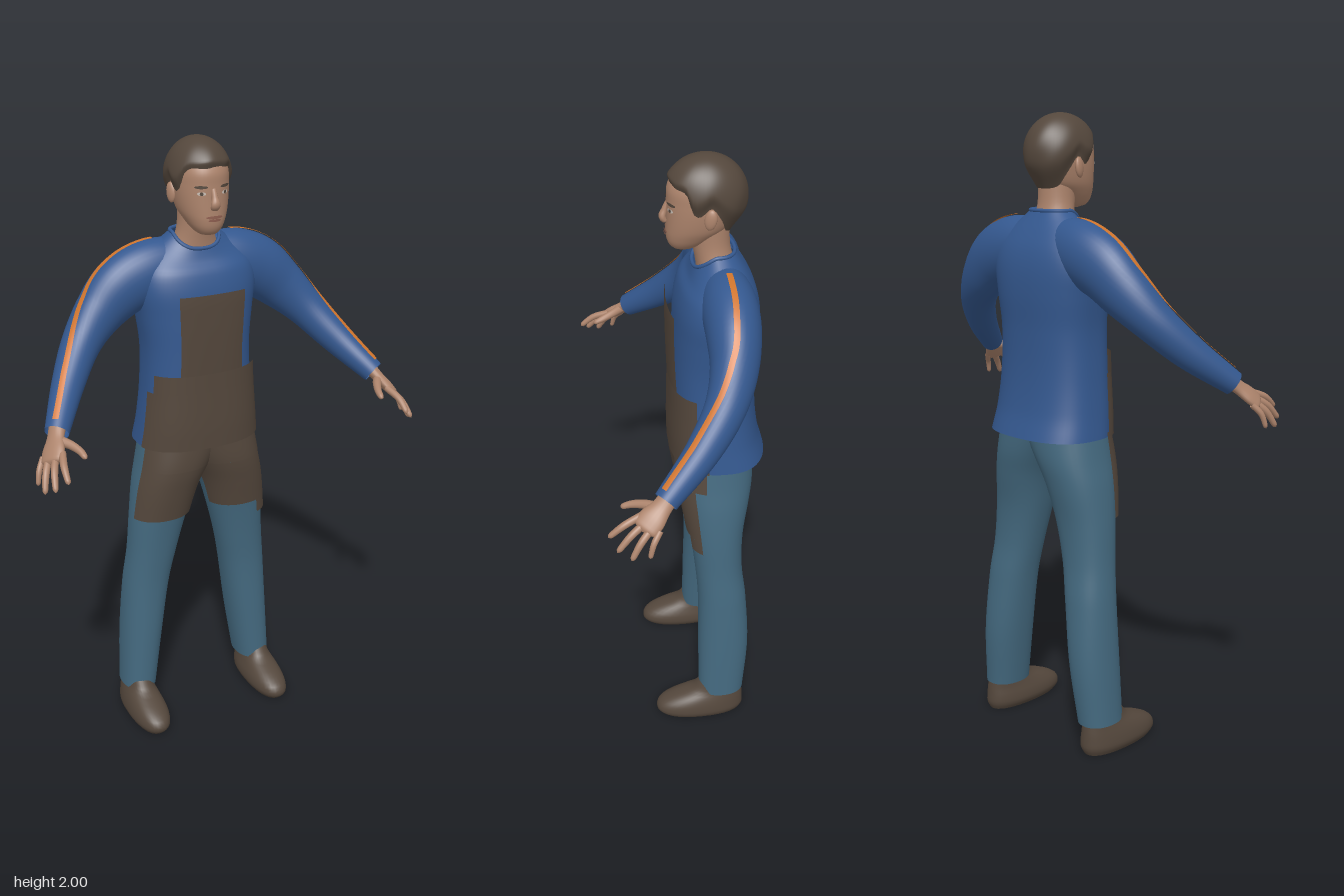
import * as THREE from 'three';

const mat = (name, color, double) => {
  const m = new THREE.MeshStandardMaterial({ color });
  m.name = name;
  if (double) m.side = THREE.DoubleSide;
  return m;
};
const V = (x, y, z) => new THREE.Vector3(x, y, z);
const smooth = (a, b, x) => THREE.MathUtils.smoothstep(x, a, b);
const lerp = THREE.MathUtils.lerp;

// Smooth interpolation through rows keyed by their first number
function profile(rows) {
  const slope = (i, k) => {
    const a = rows[Math.max(i - 1, 0)], b = rows[Math.min(i + 1, rows.length - 1)];
    return (b[k] - a[k]) / (b[0] - a[0]);
  };
  return (y) => {
    let i = 0;
    while (i < rows.length - 2 && y > rows[i + 1][0]) i++;
    const a = rows[i], b = rows[i + 1], h = b[0] - a[0];
    const t = THREE.MathUtils.clamp((y - a[0]) / h, 0, 1), t2 = t * t, t3 = t2 * t;
    return a.map((_, k) => (2 * t3 - 3 * t2 + 1) * a[k] + (t3 - 2 * t2 + t) * h * slope(i, k)
      + (3 * t2 - 2 * t3) * b[k] + (t3 - t2) * h * slope(i + 1, k));
  };
}

// Upright body of rounded sections; rows are [y, xMin, xMax, zBack, zFront]
function body(rows, p = 1) {
  const at = profile(rows);
  const pw = (c) => Math.sign(c) * Math.abs(c) ** p;
  return (th, y, off = 0, scale = 1) => {
    const [, x0, x1, z0, z1] = at(y);
    return V((x0 + x1) / 2 + ((x1 - x0) / 2 + off) * scale * pw(Math.cos(th)), y,
      (z0 + z1) / 2 + ((z1 - z0) / 2 + off) * scale * pw(Math.sin(th)));
  };
}

// Surface mesh from a rule f(u, v); side -1 mirrors it to the right
function surface(parent, name, material, f, [u0, u1, nu], [v0, v1, nv], side = 1) {
  const closed = Math.abs(u1 - u0 - 2 * Math.PI) < 1e-6, cols = closed ? nu : nu + 1;
  const pos = [], idx = [];
  for (let j = 0; j <= nv; j++) for (let i = 0; i < cols; i++) {
    const q = f(lerp(u0, u1, i / nu), lerp(v0, v1, j / nv));
    pos.push(q.x * side, q.y, q.z);
  }
  for (let j = 0; j < nv; j++) for (let i = 0; i < nu; i++) {
    const a = j * cols + i, b = j * cols + (i + 1) % cols, c = a + cols, d = b + cols;
    if (side > 0) idx.push(a, c, b, b, c, d);
    else idx.push(a, b, c, b, d, c);
  }
  const g = new THREE.BufferGeometry();
  g.setAttribute('position', new THREE.Float32BufferAttribute(pos, 3));
  g.setIndex(idx);
  g.computeVertexNormals();
  const m = new THREE.Mesh(g, material);
  m.name = name;
  parent.add(m);
  return m;
}

// Limb along a curve; each point is [x, y, z, radius along ref, radius across]
function limb(points, ref, cap) {
  const curve = new THREE.CatmullRomCurve3(points.map((q) => V(q[0], q[1], q[2])));
  const radii = profile(points.map((q, i) => [i / (points.length - 1), q[3], q[4] ?? q[3]]));
  return (th, t, off = 0, arc = false) => {
    const c = curve.getPoint(t), T = curve.getTangent(t);
    const U = ref.clone().addScaledVector(T, -ref.dot(T)).normalize();
    const S = U.clone().cross(T);
    let [, ru, rs] = radii(t);
    if (arc) th /= rs;
    const k = cap && t > 0.88 ? Math.sqrt(Math.max(0, 1 - ((t - 0.88) / 0.12) ** 2)) : 1;
    return c.addScaledVector(U, (ru + off) * k * Math.cos(th)).addScaledVector(S, (rs + off) * k * Math.sin(th));
  };
}

export function createModel() {
  const model = new THREE.Group();
  model.name = 'workman';
  const blue = mat('shirtBlue', 0x34588f, true), denim = mat('trouserBlue', 0x44697f, true);
  const brown = mat('brown', 0x54473c, true), skin = mat('skin', 0xad846c);
  const orange = mat('orange', 0xcf742c, true), white = mat('eyeWhite', 0xc9beb4, true);
  const lip = mat('lip', 0x8f5f50, true);
  const PI = Math.PI, ring = (n) => [0, 2 * PI, n];

  // Shirt, with a neckline that dips at the front
  const torsoBody = body([
    [1.02, -.203, .203, -.272, .022], [1.1, -.193, .193, -.25, .024], [1.22, -.182, .182, -.236, .022],
    [1.35, -.178, .178, -.235, .02], [1.46, -.19, .19, -.242, .016], [1.54, -.2, .2, -.24, .01],
    [1.6, -.19, .19, -.227, -.005], [1.65, -.155, .155, -.203, -.025], [1.69, -.1, .1, -.178, -.036],
    [1.71, -.075, .075, -.165, -.042]], 0.8);
  const torso = (th, y, off) => {
    const q = torsoBody(th, y, off);
    q.y -= 0.045 * Math.max(0, Math.sin(th)) * smooth(1.58, 1.71, y);
    return q;
  };
  surface(model, 'shirt', blue, torso, ring(64), [1.02, 1.71, 46]);
  const rim = Array.from({ length: 32 }, (_, i) => torso(i * PI / 16, 1.71));
  const collar = new THREE.Mesh(new THREE.TubeGeometry(new THREE.CatmullRomCurve3(rim, true), 64, .006, 8, true), blue);
  collar.name = 'collar';
  model.add(collar);

  // Apron: waist panel, stepped shoulder panel and a bib that stands off the chest
  const apron = new THREE.Group();
  apron.name = 'apron';
  model.add(apron);
  const panel = (name, y0, y1, a0, a1, off0, off1) => surface(apron, name, brown, (u, v) =>
    torso(lerp(lerp(a0, a1, v), PI - lerp(a0, a1, v), u), lerp(y0, y1, v), lerp(off0, off1, v)), [0, 1, 30], [0, 1, 14]);
  panel('apronWaist', 1.025, 1.22, .25, .25, .011, .011);
  panel('apronStep', 1.22, 1.28, .45, .45, .011, .011);
  panel('apronBib', 1.28, 1.54, 1.06, 1.15, .011, .026);

  // Legs
  const leg = body([
    [.1, .165, .285, -.2, -.045], [.3, .135, .275, -.215, -.045], [.5, .105, .261, -.205, -.045],
    [.62, .08, .248, -.192, -.036], [.75, .047, .238, -.195, -.02], [.87, .012, .223, -.215, 0],
    [.95, -.03, .207, -.228, .012], [1.05, -.1, .19, -.23, .01]], 0.9);
  // Shoes
  const shoe = body([
    [0, .18, .285, -.19, .088], [.02, .167, .296, -.2, .105], [.05, .168, .294, -.2, .094],
    [.075, .176, .287, -.198, .05], [.1, .183, .278, -.195, -.015], [.14, .188, .272, -.19, -.05]], 0.88);
  // Arms
  const arm = limb([[.05, 1.605, -.125, .085, .07], [.15, 1.588, -.13, .1, .082], [.235, 1.553, -.13, .098, .08],
    [.315, 1.487, -.12, .082, .07], [.39, 1.41, -.085, .064, .06], [.465, 1.318, -.01, .053, .05],
    [.549, 1.217, .105, .037, .037]], V(0, 1, 0));
  // Hand pieces
  const across = V(.045, -.03, -.055);
  const palm = limb([[.54, 1.232, .09, .028, .022], [.558, 1.205, .118, .03, .018], [.576, 1.18, .147, .04, .017],
    [.594, 1.153, .177, .039, .013]], across, true);
  const knuckleA = V(.562, 1.177, .187), knuckleB = V(.612, 1.147, .133);
  const tips = [[.577, 1.127, .272], [.61, 1.098, .25], [.63, 1.08, .212], [.633, 1.085, .16]];

  for (const s of [1, -1]) {
    const sideName = s > 0 ? 'left' : 'right';
    const g = new THREE.Group();
    g.name = sideName + 'Limbs';
    model.add(g);
    surface(g, sideName + 'TrouserLeg', denim, leg, ring(40), [.1, 1.05, 48], s);
    surface(g, sideName + 'Shoe', brown, shoe, ring(36), [0, .14, 14], s);
    surface(g, sideName + 'Sole', brown, (th, k) => shoe(th, 0, 0, k), ring(36), [.5, 1, 2], s);
    surface(g, sideName + 'SolePatch', blue, (th, k) => shoe(th, 0, 0, k), ring(36), [0, .5, 2], s);

    // Apron leg flaps, with a longer tab on the left
    const flap = (y0, y1, a0, a1) => surface(apron, sideName + 'ApronLeg', brown,
      (th, y) => leg(th, y, .009), [a0, a1, 24], [y0, y1, 10], s);
    const outer = s > 0 ? .6 : .3;
    flap(.95, 1.035, .3, 2.6);
    flap(.77, .95, outer, 2.85);
    if (s > 0) flap(.72, .77, outer, 1.15);

    // Sleeve, stripe and cuff end
    surface(g, sideName + 'Sleeve', blue, arm, ring(36), [0, 1, 44], s);
    surface(g, sideName + 'SleeveStripe', orange, (a, t) => arm(a, t, .004, true), [-.0085, .0085, 3], [.11, .98, 44], s);

    // Hand
    surface(g, sideName + 'Palm', skin, palm, ring(20), [0, 1, 24], s);
    tips.forEach((tip, i) => {
      const a = knuckleA.clone().lerp(knuckleB, .06 + i * .29), b = V(...tip);
      a.add(V(-.006, .008, -.009));
      const mid = a.clone().lerp(b, .5).add(V(.005, .007, .004));
      const r = i === 3 ? .009 : .0108;
      const finger = limb([[...a.toArray(), r * 1.05], [...mid.toArray(), r], [...b.toArray(), r * .75]], across, true);
      surface(g, sideName + 'Finger', skin, finger, ring(12), [0, 1, 20], s);
    });
    const thumb = limb([[.556, 1.203, .125, .016], [.528, 1.197, .163, .0135], [.511, 1.187, .2, .011],
      [.506, 1.176, .23, .008]], V(0, 1, 0), true);
    surface(g, sideName + 'Thumb', skin, thumb, ring(12), [0, 1, 20], s);
  }

  // Neck and head
  const neck = body([[1.64, -.085, .085, -.175, -.055], [1.69, -.066, .066, -.16, -.048],
    [1.73, -.058, .058, -.152, -.04], [1.8, -.058, .058, -.15, -.03]]);
  surface(model, 'neck', skin, neck, ring(32), [1.64, 1.8, 10]);
  const head = body([
    [1.715, -.004, .004, -.03, -.005], [1.722, -.028, .028, -.05, .017], [1.74, -.047, .047, -.08, .031],
    [1.765, -.062, .062, -.115, .036], [1.79, -.073, .073, -.145, .036], [1.83, -.081, .081, -.165, .035],
    [1.87, -.084, .084, -.178, .034], [1.91, -.082, .082, -.178, .031], [1.95, -.068, .068, -.16, .008],
    [1.975, -.045, .045, -.125, -.025], [1.985, -.001, .001, -.08, -.07]], 0.92);
  surface(model, 'head', skin, head, ring(48), [1.715, 1.985, 40]);

  // Hair: rounded cap whose lower edge follows the fringe, sideburn, ear and nape
  const edge = profile([[0, 1.918], [.5, 1.912], [.95, 1.9], [1.2, 1.845], [1.4, 1.85], [1.65, 1.872],
    [1.95, 1.83], [2.3, 1.785], [PI, 1.775]]);
  const hair = (th, v) => {
    const a = Math.abs(Math.atan2(Math.cos(th), Math.sin(th)));
    const low = edge(a)[1], y = low + (2 - low) * Math.sin(v * PI / 2), t = (y - 1.88) / .12;
    let k = t > 0 ? Math.sqrt(Math.max(0, 1 - t * t)) : 1 - .38 * t * t;
    k *= .87 + .13 * smooth(0, .22, v);
    k *= 1 + .012 * Math.sin(7 * th + 40 * y) * (1 - v);
    return V(.1 * k * Math.cos(th), y, -.077 + .124 * k * Math.sin(th));
  };
  surface(model, 'hair', brown, hair, ring(64), [0, 1, 30]);

  // Face: nose, ears, brows, eyes and lips
  const face = new THREE.Group();
  face.name = 'face';
  model.add(face);
  const nose = limb([[0, 1.862, .03, .007, .008], [0, 1.838, .039, .009, .01], [0, 1.817, .045, .011, .015],
    [0, 1.8, .034, .008, .012]], V(0, 0, 1), true);
  surface(face, 'nose', skin, nose, ring(16), [0, 1, 20]).material = skin;
  face.children[0].material.side = THREE.DoubleSide;
  const mark = (name, m, a, y, ha, hy, off, s = 1) => surface(face, name, m, (th, k) => {
    const e = Math.sqrt(Math.max(0, 1 - (th / ha) ** 2));
    return head(a + th, y + k * hy * e, off);
  }, [-ha, ha, 12], [-1, 1, 4], s);
  for (const s of [1, -1]) {
    mark('brow', brown, 1.13, 1.869, .24, .0045, .003, s);
    mark('eye', white, 1.14, 1.85, .16, .0055, .002, s);
    mark('iris', brown, 1.14, 1.85, .065, .0055, .003, s);
    const ear = new THREE.Mesh(new THREE.SphereGeometry(1, 16, 12), skin);
    ear.name = 'ear';
    ear.scale.set(.01, .031, .018);
    ear.position.set(s * .087, 1.838, -.082);
    ear.rotation.set(-.15, s * -.3, 0);
    face.add(ear);
  }
  mark('upperLip', lip, PI / 2, 1.779, .36, .0045, .004);
  mark('lowerLip', lip, PI / 2, 1.77, .28, .004, .005);
  return model;
}
